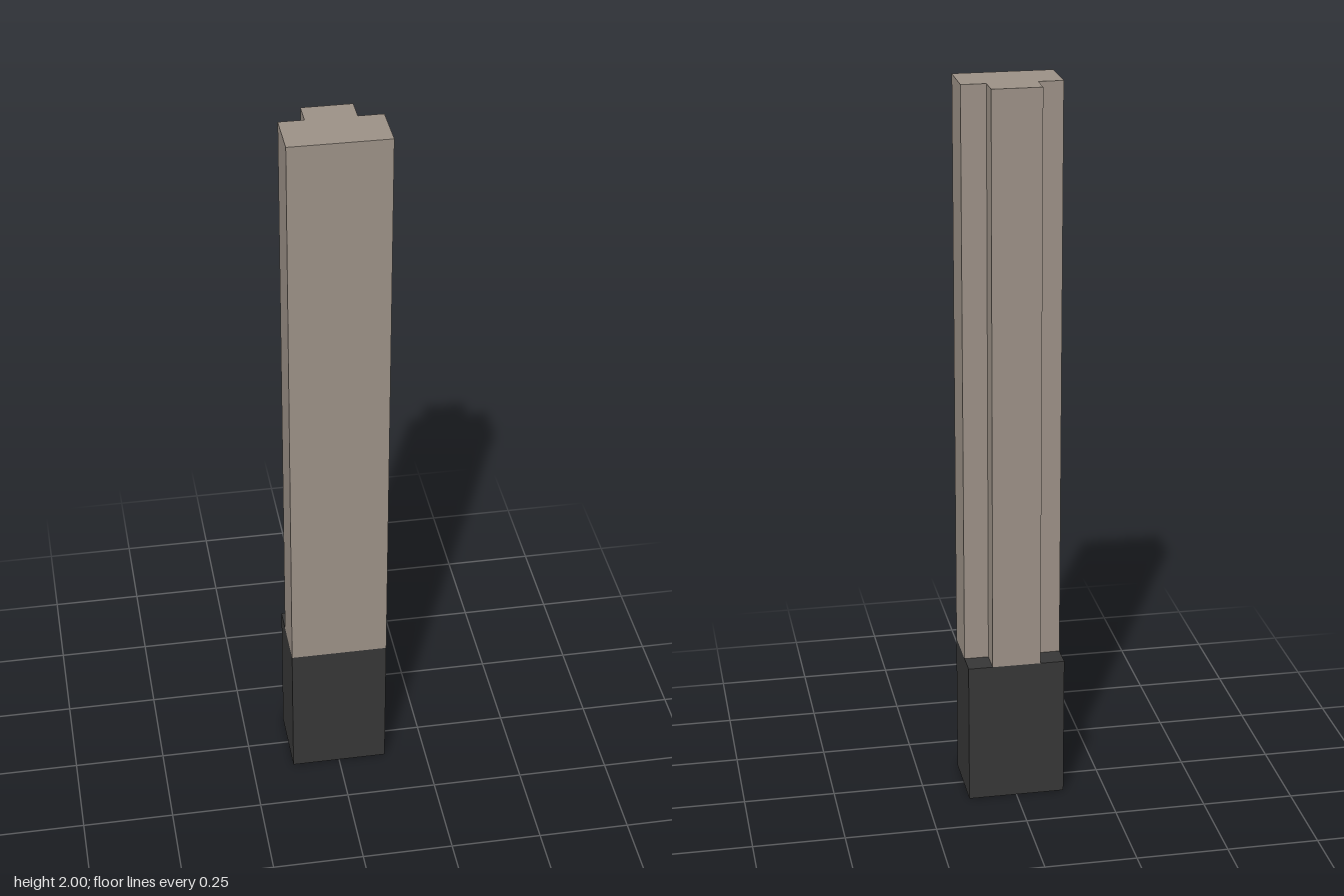
import * as THREE from 'three';

const W = 0.1333, D = 0.1;   // half width and half depth
const CELL = 0.0667;         // size of the rear corner notches
const BASE_H = 0.4, TOP = 2;

function addMesh(group, name, geometry, color) {
  const mesh = new THREE.Mesh(
    geometry,
    new THREE.MeshStandardMaterial({ color, flatShading: true })
  );
  mesh.name = name;
  group.add(mesh);
  return mesh;
}

export function createModel() {
  const group = new THREE.Group();
  group.name = 'post';
  const stone = 0x9b9086, dark = 0x363636;

  // Dark foot block, lifted a hair so the inset tile lies clear beneath it
  const lift = 0.001;
  const base = addMesh(group, 'base', new THREE.BoxGeometry(2 * W, BASE_H - lift, 2 * D), dark);
  base.position.y = (BASE_H + lift) / 2;

  // T-shaped shaft with both rear corners notched (shape y points to the back)
  const n = W - CELL, b = D - CELL;
  const section = new THREE.Shape(
    [[-W, -D], [W, -D], [W, b], [n, b], [n, D], [-n, D], [-n, b], [-W, b]]
      .map(([x, y]) => new THREE.Vector2(x, y))
  );
  const shaft = addMesh(group, 'shaft',
    new THREE.ExtrudeGeometry(section, { depth: TOP - BASE_H, bevelEnabled: false }).rotateX(-Math.PI / 2),
    stone);
  shaft.position.y = BASE_H;

  // Light square on the underside, at the rear corner on the -x side
  const tile = addMesh(group, 'undersideTile',
    new THREE.PlaneGeometry(CELL, CELL).rotateX(Math.PI / 2), stone);
  tile.position.set(-W + CELL / 2, 0, -D + CELL / 2);

  return group;
}
